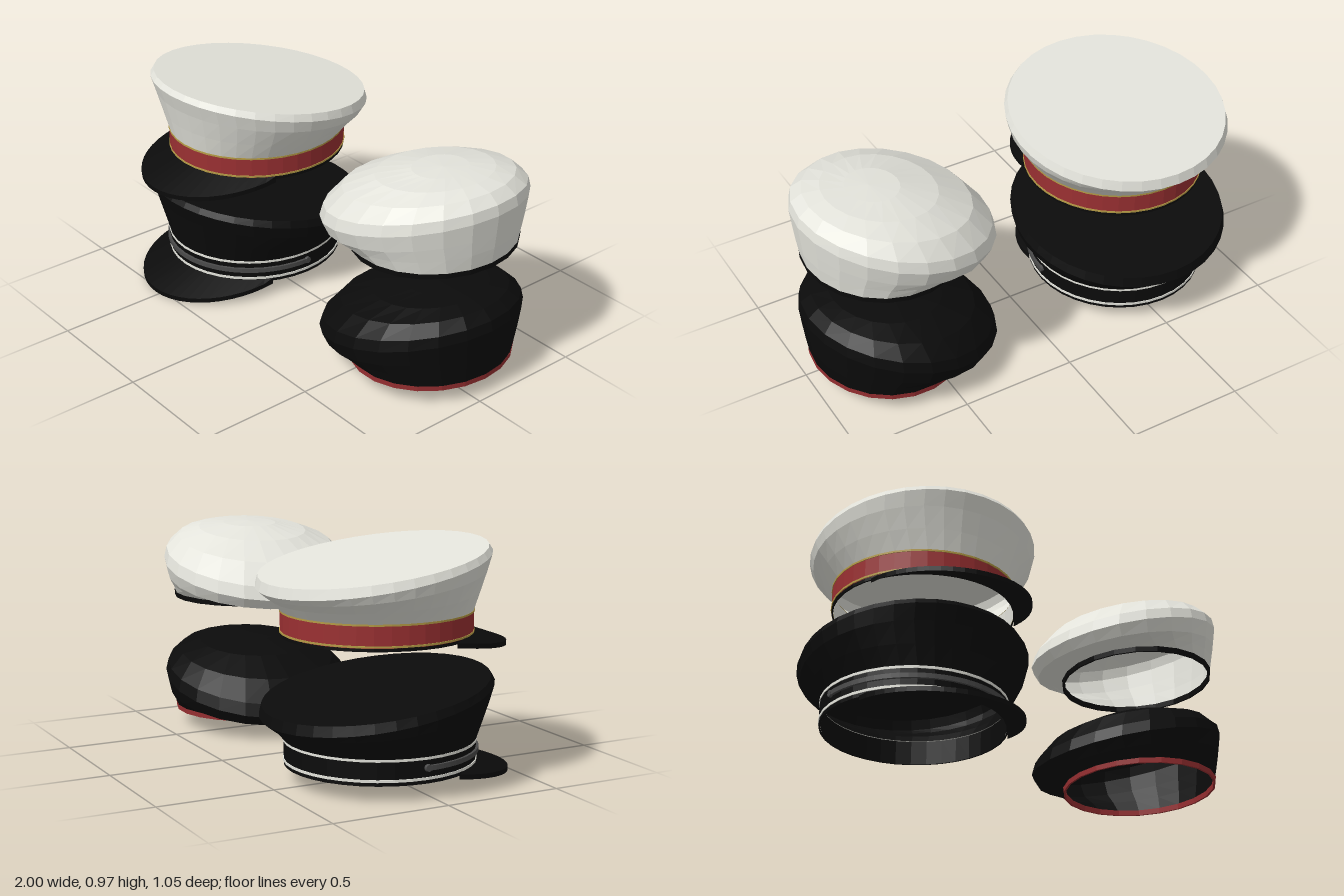
import * as THREE from 'three';

const WHITE = 0xe4e4dc, BLACK = 0x0b0b0b, RED = 0x9a3032, GOLD = 0xb49a45, GREY = 0x4a4a4a;

// Flat-shaded mesh through cross-sections: at(angle, section) gives a point
function loft(name, color, sections, at, segments = 36, from = 0, to = Math.PI * 2) {
  const positions = [], index = [];
  for (const section of sections)
    for (let j = 0; j <= segments; j++)
      positions.push(...at(from + (to - from) * j / segments, section));
  const w = segments + 1;
  for (let i = 0; i < sections.length - 1; i++)
    for (let j = 0; j < segments; j++) {
      const p = i * w + j;
      index.push(p, p + w, p + 1, p + 1, p + w, p + w + 1);
    }
  let geometry = new THREE.BufferGeometry();
  geometry.setAttribute('position', new THREE.Float32BufferAttribute(positions, 3));
  geometry.setIndex(index);
  geometry = geometry.toNonIndexed();
  geometry.computeVertexNormals();
  const material = new THREE.MeshStandardMaterial({ color, flatShading: true, side: THREE.DoubleSide });
  const mesh = new THREE.Mesh(geometry, material);
  mesh.name = name;
  return mesh;
}

// Elliptical ring that may lean along x and z
function ring(a, { x = 0, y, z = -0.035, rx, rz, leanX = 0, leanZ = 0 }) {
  const dx = Math.cos(a) * rx, dz = Math.sin(a) * rz;
  return [x + dx, y + leanX * dx + leanZ * dz, z + dz];
}

// Ring around the head opening of a peaked cap, grown outward by `out`
const bandRing = (y, out = 0) => ({ y, rx: 0.38 + out, rz: 0.392 + out });
const trim = (name, color, y, height, out, ...arc) => loft(name, color,
  [bandRing(y, -0.006), bandRing(y, out), bandRing(y + height, out), bandRing(y + height, -0.006)],
  ring, 36, ...arc);

function peakedCap({ crown, band, piping, pipingHeight, strap }) {
  const cap = new THREE.Group();

  // Flared crown with a flat top that rises to the front
  cap.add(loft('crown', crown, [
    bandRing(0.69),
    { y: 0.755, z: -0.042, rx: 0.425, rz: 0.418, leanZ: 0.06 },
    { y: 0.815, z: -0.05, rx: 0.465, rz: 0.448, leanZ: 0.13 },
    { y: 0.86, z: -0.052, rx: 0.4775, rz: 0.472, leanZ: 0.175 },
    { y: 0.893, z: -0.055, rx: 0.465, rz: 0.459, leanZ: 0.157 },
    { y: 0.893, z: -0.055, rx: 0, rz: 0 },
  ], ring));

  // Head band, lining and lower edge
  cap.add(loft('band', band, [bandRing(0.6), bandRing(0.69)], ring));
  cap.add(loft('lining', crown, [bandRing(0.588, -0.008), bandRing(0.69, -0.008)], ring));
  cap.add(loft('lowerEdge', BLACK, [bandRing(0.587, -0.007), bandRing(0.587), bandRing(0.603)], ring));
  for (const y of [0.602, 0.694 - pipingHeight])
    cap.add(trim('piping', piping, y, pipingHeight, 0.003));

  // Sloping visor: inner edge follows the band, outer edge is a half ellipse
  const start = Math.asin(0.165 / 0.392);
  const visorPoint = (a, { outer, drop }) => {
    if (outer) return [0.345 * Math.cos(a), 0.592 - 0.052 * Math.sin(a) - drop, 0.13 + 0.395 * Math.sin(a)];
    const b = start + (Math.PI - 2 * start) * a / Math.PI;
    return [0.38 * Math.cos(b), 0.6 - drop, -0.035 + 0.392 * Math.sin(b)];
  };
  cap.add(loft('visor', BLACK, [
    { outer: false, drop: 0.02 }, { outer: true, drop: 0.02 },
    { outer: true, drop: 0 }, { outer: false, drop: 0 },
  ], visorPoint, 24, 0, Math.PI));

  // Chin strap across the front with a button at each end
  if (strap) {
    cap.add(trim('chinStrap', GREY, 0.64, 0.02, 0.01, 0, Math.PI));
    for (const side of [-1, 1]) {
      const button = new THREE.Mesh(
        new THREE.CylinderGeometry(0.014, 0.016, 0.014, 12),
        new THREE.MeshStandardMaterial({ color: GREY, flatShading: true }));
      button.name = 'strapButton';
      button.rotation.z = -side * Math.PI / 2;
      button.position.set(side * 0.384, 0.65, -0.035);
      cap.add(button);
    }
  }
  return cap;
}

function beret(cloth, edge) {
  const group = new THREE.Group();
  const z = -0.055;
  const base = { x: 0.648, y: 0.605, z, rx: 0.322, rz: 0.355, leanX: 0.02 };

  // Soft crown drooping to one side over the band
  group.add(loft('crown', cloth, [
    base,
    { x: 0.62, y: 0.637, z, rx: 0.36, rz: 0.378, leanX: 0.12 },
    { x: 0.592, y: 0.665, z, rx: 0.395, rz: 0.405, leanX: 0.21 },
    { x: 0.58, y: 0.725, z, rx: 0.415, rz: 0.424, leanX: 0.25 },
    { x: 0.583, y: 0.775, z, rx: 0.402, rz: 0.412, leanX: 0.24 },
    { x: 0.6, y: 0.842, z, rx: 0.34, rz: 0.35, leanX: 0.19 },
    { x: 0.635, y: 0.888, z, rx: 0.235, rz: 0.245, leanX: 0.13 },
    { x: 0.665, y: 0.911, z, rx: 0.11, rz: 0.12, leanX: 0.06 },
    { x: 0.68, y: 0.917, z, rx: 0, rz: 0 },
  ], ring, 22));

  // Narrow binding around the opening
  group.add(loft('binding', edge, [
    { ...base, y: 0.607, rx: 0.312, rz: 0.345 },
    { ...base, y: 0.584, rx: 0.314, rz: 0.347 },
    { ...base, y: 0.584, rx: 0.323, rz: 0.356 },
    { ...base, y: 0.607, rx: 0.325, rz: 0.358 },
  ], ring, 22));
  return group;
}

export function createModel() {
  const model = new THREE.Group();
  const place = (name, part, x, y) => {
    part.name = name;
    part.position.set(x, y, 0);
    model.add(part);
  };
  place('whitePeakedCap', peakedCap({ crown: WHITE, band: RED, piping: GOLD, pipingHeight: 0.008 }), -0.493, 0);
  place('blackPeakedCap', peakedCap({ crown: BLACK, band: BLACK, piping: WHITE, pipingHeight: 0.011, strap: true }), -0.523, -0.52);
  place('whiteBeret', beret(WHITE, BLACK), 0, 0);
  place('blackBeret', beret(BLACK, RED), 0, -0.52);
  return model;
}
